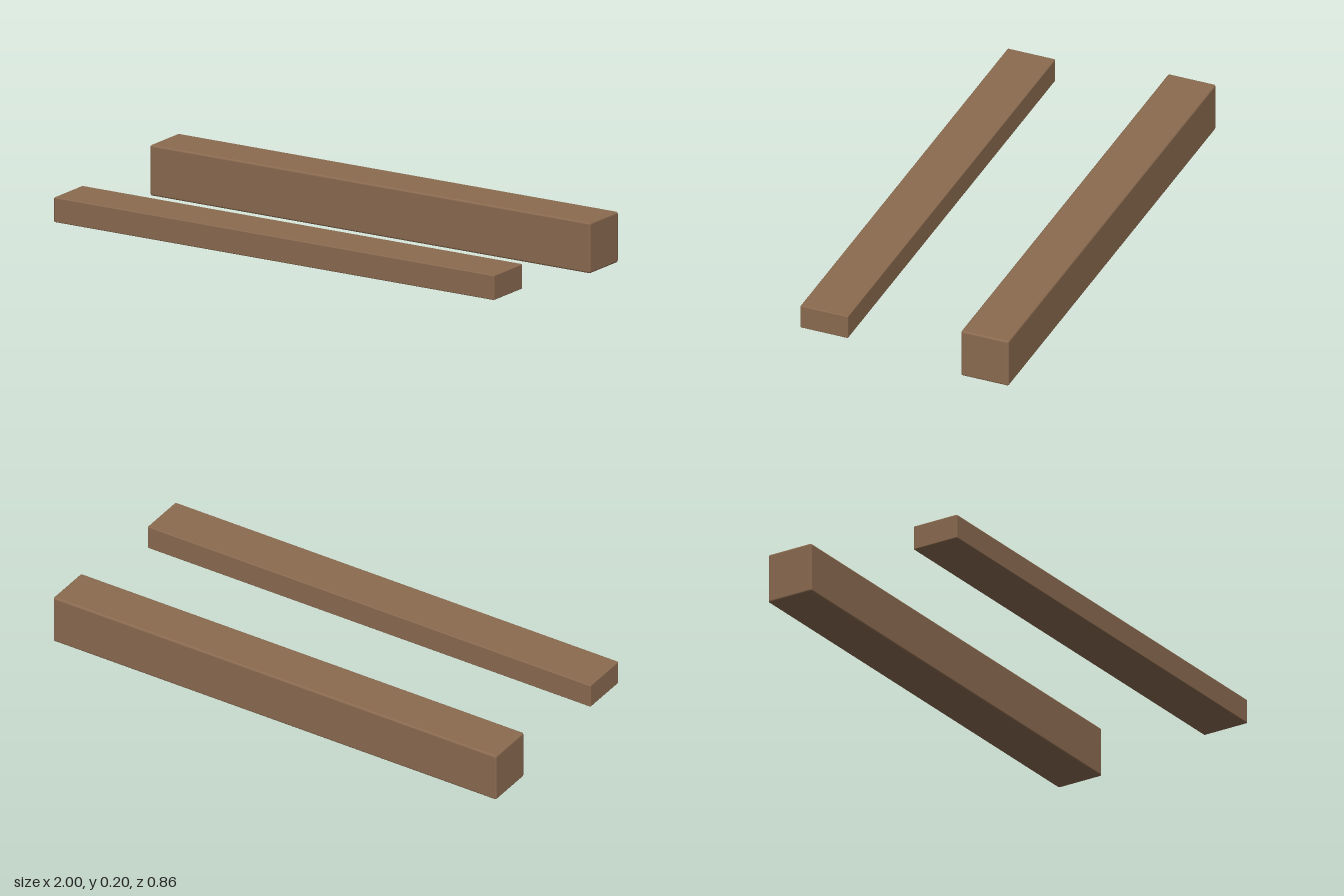
import * as THREE from 'three';
import { RoundedBoxGeometry } from 'three/addons/geometries/RoundedBoxGeometry.js';

const LENGTH = 2, DEPTH = 0.197, CENTRE_Y = 0.1, OFFSET_Z = 0.3315;

export function createModel() {
  const group = new THREE.Group();
  group.name = 'beams';
  const wood = new THREE.MeshStandardMaterial({ color: 0x8b6b50 });

  // Long beam with slightly eased edges
  const addBeam = (name, height, z, bevel) => {
    const beam = new THREE.Mesh(new RoundedBoxGeometry(LENGTH, height, DEPTH, 2, bevel), wood);
    beam.name = name;
    beam.position.set(0, CENTRE_Y, z);
    group.add(beam);
  };

  // Thin plank in front, square beam behind, on a shared centre height
  addBeam('frontPlank', 0.098, OFFSET_Z, 0.004);
  addBeam('backBeam', 0.2, -OFFSET_Z, 0.008);

  return group;
}
